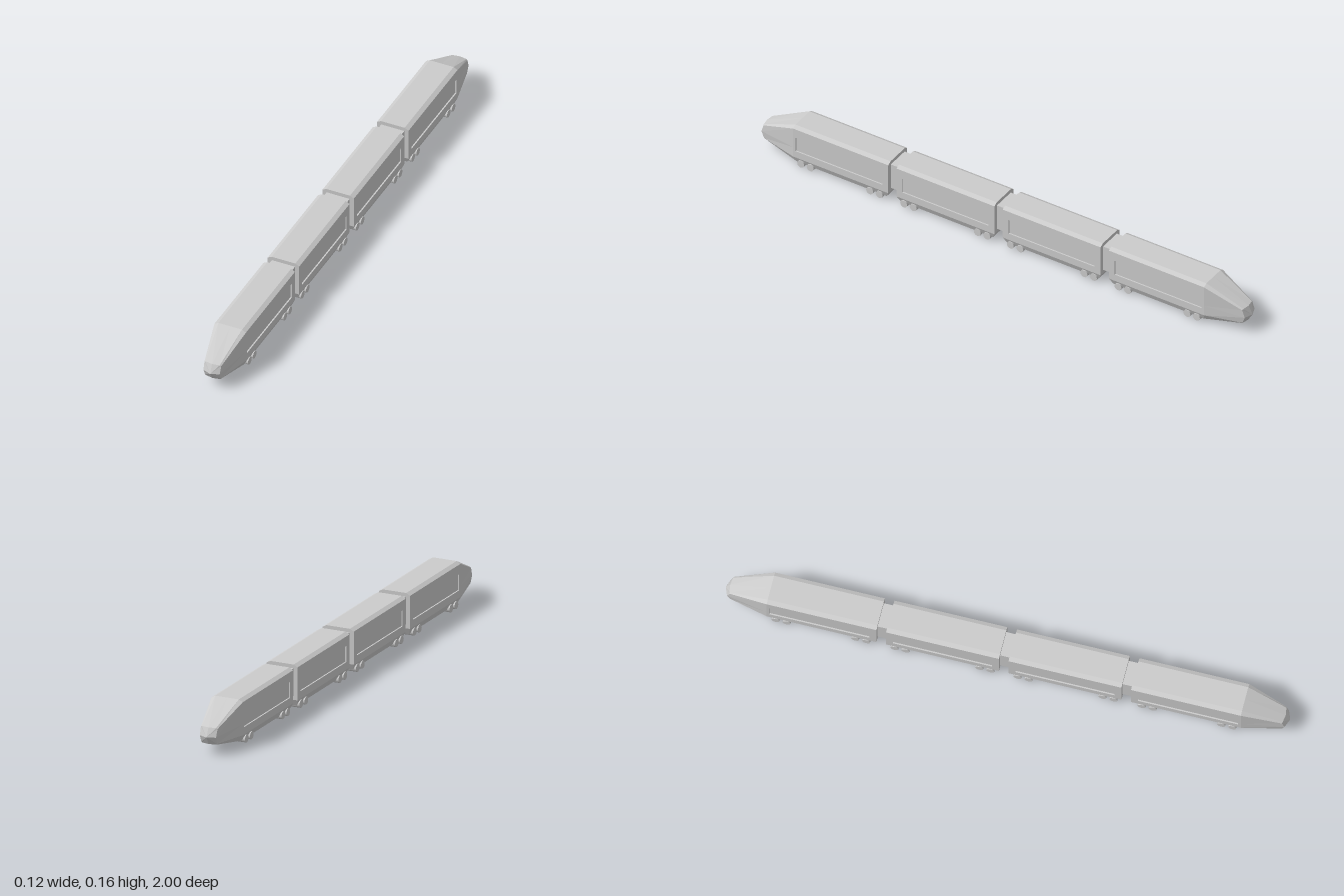
import * as THREE from 'three';

const grey = new THREE.MeshStandardMaterial({ color: 0xcccccc, flatShading: true });
const wheelGrey = new THREE.MeshStandardMaterial({ color: 0xcccccc });

const HALF_W = 0.06, ROOF_EDGE = 0.155, SKIRT = 0.035, RECESS = 0.005;

// half outlines from top centre, down the left side, to bottom centre: [x, y, z offset]
const bodyHalf = [[0, 0.163], [0.045, 0.163], [HALF_W, ROOF_EDGE], [HALF_W, 0.075],
  [HALF_W, SKIRT], [0.05, 0.012], [0, 0.012]];
const noseHalf = [[0, 0.098, 0.984], [0.027, 0.098, 0.98], [0.032, 0.095, 0.978], [0.031, 0.066, 0.988],
  [0.03, 0.04, 0.978], [0.028, 0.037, 0.976], [0, 0.037, 0.982]];

function mirrorRing(half) {
  const other = half.slice(1, -1).reverse().map(([x, y, z]) => [-x, y, z]);
  return [...half, ...other].map((p) => new THREE.Vector3(...p));
}

// body section at z; the lower edge is pulled in by `tuck`
function bodyRing(z, tuck = 0) {
  return mirrorRing(bodyHalf.map(([x, y]) => [x, y, y < 0.03 ? z + tuck : z]));
}

// skin between rings (rear to front), closed with a fan at each end
function loft(rings, rearTip, frontTip, isOpen) {
  const v = [];
  const tri = (...pts) => pts.forEach((p) => v.push(p.x, p.y, p.z));
  const n = rings[0].length;
  const last = rings[rings.length - 1];
  for (let i = 0; i < n; i++) {
    const j = (i + 1) % n;
    for (let r = 0; r < rings.length - 1; r++) {
      if (isOpen(r, i)) continue;
      const a = rings[r], b = rings[r + 1];
      tri(a[i], b[i], b[j]);
      tri(a[i], b[j], a[j]);
    }
    tri(rearTip, rings[0][i], rings[0][j]);
    tri(frontTip, last[j], last[i]);
  }
  const geo = new THREE.BufferGeometry();
  geo.setAttribute('position', new THREE.Float32BufferAttribute(v, 3));
  geo.computeVertexNormals();
  return geo;
}

function add(parent, name, geo, x = 0, y = 0, z = 0, mat = grey) {
  const mesh = new THREE.Mesh(geo, mat);
  mesh.name = name;
  mesh.position.set(x, y, z);
  parent.add(mesh);
  return mesh;
}

function rectangle(path, x0, y0, x1, y1) {
  path.moveTo(x0, y0);
  path.lineTo(x1, y0);
  path.lineTo(x1, y1);
  path.lineTo(x0, y1);
  path.closePath();
  return path;
}

// side walls with a sunken window band
function addSides(car, z0, z1, w0, w1) {
  const shape = rectangle(new THREE.Shape(), z0, SKIRT, z1, ROOF_EDGE);
  shape.holes.push(rectangle(new THREE.Path(), w0, 0.062, w1, 0.12));
  const wall = new THREE.ExtrudeGeometry(shape, { depth: RECESS, bevelEnabled: false });
  wall.rotateY(-Math.PI / 2);
  const pane = new THREE.BoxGeometry(0.002, 0.064, w1 - w0 + 0.006);
  for (const s of [1, -1]) {
    add(car, 'sideWall', wall, s > 0 ? HALF_W : -HALF_W + RECESS);
    add(car, 'windowBand', pane, s * (HALF_W - RECESS - 0.001), 0.091, (w0 + w1) / 2);
  }
}

// full-width wheel rollers
function addWheels(car, positions) {
  const geo = new THREE.CylinderGeometry(0.0142, 0.0142, HALF_W * 2, 16).rotateZ(Math.PI / 2);
  for (const z of positions) add(car, 'wheelSet', geo, 0, 0.0145, z, wheelGrey);
}

const sideOpening = (r, i) => r === 0 && [2, 3, 8, 9].includes(i);

// end car with a tapered nose
function endCar() {
  const car = new THREE.Group();
  const z0 = 0.451, z1 = 0.84;
  add(car, 'endCarBody', loft([bodyRing(z0, 0.012), bodyRing(z1, -0.008), mirrorRing(noseHalf)],
    new THREE.Vector3(0, SKIRT, z0), new THREE.Vector3(0, 0.066, 1), sideOpening));
  addSides(car, z0, z1, 0.475, 0.83);
  addWheels(car, [0.488, 0.527, 0.77, 0.809]);
  return car;
}

// plain middle car
function middleCar() {
  const car = new THREE.Group();
  const z0 = 0.017, z1 = 0.417;
  add(car, 'middleCarBody', loft([bodyRing(z0, 0.012), bodyRing(z1, -0.012)],
    new THREE.Vector3(0, SKIRT, z0), new THREE.Vector3(0, SKIRT, z1), sideOpening));
  addSides(car, z0, z1, 0.041, 0.393);
  addWheels(car, [0.048, 0.087, 0.349, 0.388]);
  return car;
}

export function createModel() {
  const train = new THREE.Group();
  train.name = 'train';

  // the rear half is the front half turned round
  for (const [end, turn] of [['front', 0], ['rear', Math.PI]]) {
    for (const [kind, make] of [['EndCar', endCar], ['MiddleCar', middleCar]]) {
      const car = make();
      car.name = end + kind;
      car.rotation.y = turn;
      train.add(car);
    }
  }

  // gangways between cars
  const gangway = new THREE.BoxGeometry(0.088, 0.1, 0.05);
  for (const z of [-0.434, 0, 0.434]) add(train, 'gangway', gangway, 0, 0.099, z);

  return train;
}
